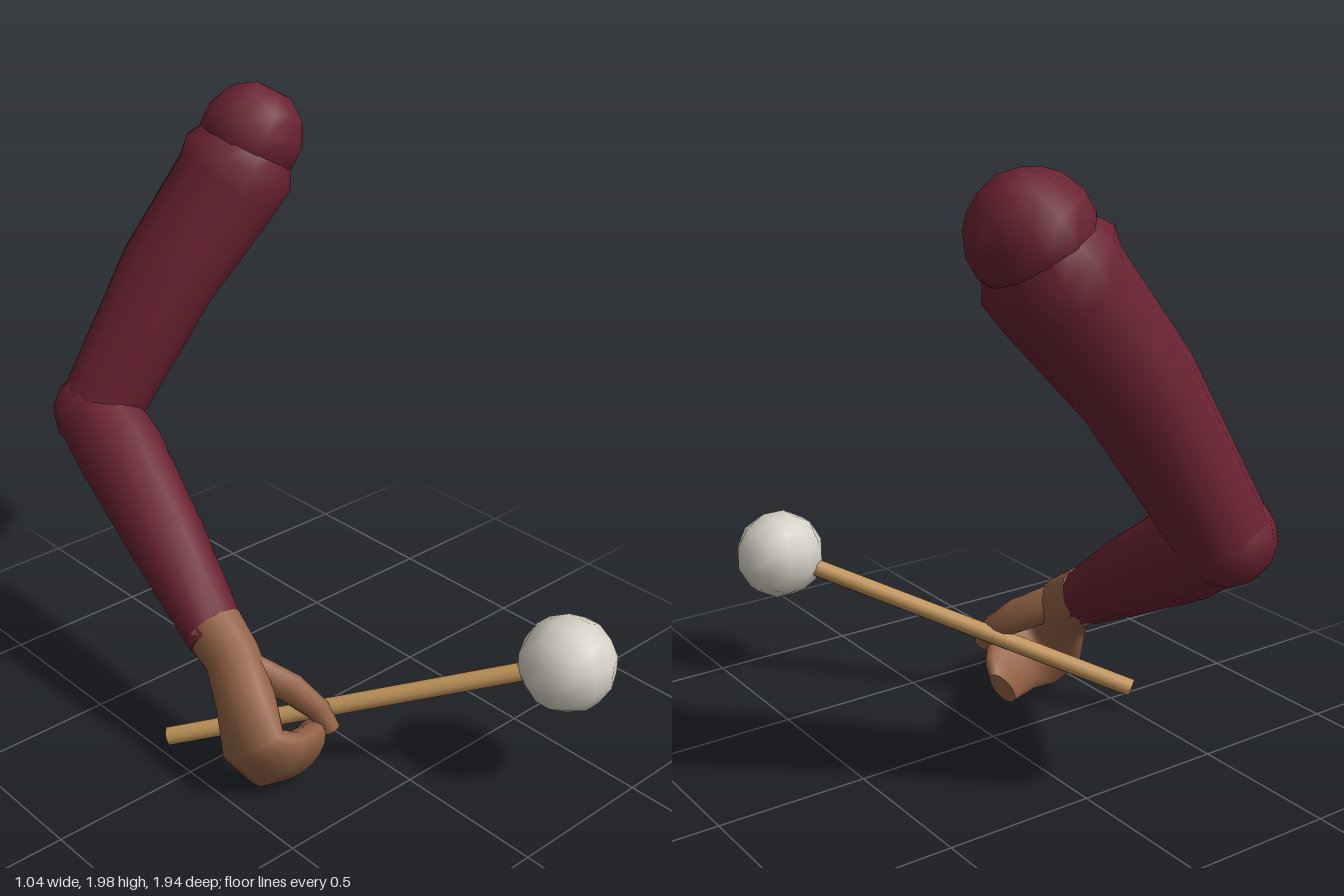
import * as THREE from 'three';

const mat = (name, color) => Object.assign(new THREE.MeshStandardMaterial({ color }), { name });
const V = (a) => new THREE.Vector3(...a);

// Smooth loft through elliptical rings [x, y, z, halfWidth, halfThickness], capped at both ends.
// The width axis follows ref, kept square to the path.
function loft(rings, ref, sides = 12) {
  const pos = [], idx = [], n = rings.length;
  const centers = rings.map((r) => V(r.slice(0, 3)));
  rings.forEach((r, i) => {
    const t = centers[Math.min(i + 1, n - 1)].clone().sub(centers[Math.max(i - 1, 0)]).normalize();
    const u = V(ref).addScaledVector(t, -V(ref).dot(t)).normalize();
    const v = t.clone().cross(u);
    for (let j = 0; j < sides; j++) {
      const a = (j / sides) * Math.PI * 2;
      const p = centers[i].clone().addScaledVector(u, Math.cos(a) * r[3]).addScaledVector(v, Math.sin(a) * r[4]);
      pos.push(p.x, p.y, p.z);
    }
  });
  for (let i = 0; i < n - 1; i++) {
    for (let j = 0; j < sides; j++) {
      const k = (j + 1) % sides;
      const a = i * sides + j, b = i * sides + k, c = b + sides, d = a + sides;
      idx.push(a, b, c, a, c, d);
    }
  }
  // end caps use their own vertices so that the rims stay crisp
  for (const [i, flip] of [[0, true], [n - 1, false]]) {
    const base = pos.length / 3;
    for (let j = 0; j < sides; j++) pos.push(...pos.slice((i * sides + j) * 3, (i * sides + j) * 3 + 3));
    pos.push(...centers[i].toArray());
    for (let j = 0; j < sides; j++) {
      const a = base + j, b = base + (j + 1) % sides;
      idx.push(...(flip ? [b, a, base + sides] : [a, b, base + sides]));
    }
  }
  const g = new THREE.BufferGeometry();
  g.setAttribute('position', new THREE.Float32BufferAttribute(pos, 3));
  g.setIndex(idx);
  g.computeVertexNormals();
  return g;
}

// Coarse ball made from a subdivided cube, with smooth normals
function cubeBall(radius) {
  const g = new THREE.BoxGeometry(2, 2, 2, 3, 3, 3);
  const p = g.attributes.position, q = new THREE.Vector3();
  const even = (c) => Math.tan(c * Math.PI / 4);
  for (let i = 0; i < p.count; i++) {
    q.fromBufferAttribute(p, i);
    q.set(even(q.x), even(q.y), even(q.z)).normalize();
    g.attributes.normal.setXYZ(i, q.x, q.y, q.z);
    p.setXYZ(i, q.x * radius, q.y * radius, q.z * radius);
  }
  return g;
}

export function createModel() {
  const group = new THREE.Group();
  const sleeve = mat('maroon sleeve', 0x6a2231);
  const skin = mat('brown skin', 0x936245);
  const wood = mat('tan wood', 0xc0945a);
  const felt = mat('off-white felt', 0xd6d1c5);
  const add = (name, geometry, material, at = [0, 0, 0]) => {
    const m = new THREE.Mesh(geometry, material);
    m.name = name;
    m.position.set(...at);
    group.add(m);
    return m;
  };

  // Sleeved arm
  add('shoulder', cubeBall(0.178), sleeve, [0.345, 1.825, -0.66]).rotation.set(0.3, 0.2, -0.5);
  add('upperArm', loft([
    [-0.215, 0.94, -0.825, 0.14, 0.145],
    [0.045, 1.395, -0.745, 0.168, 0.175],
    [0.255, 1.67, -0.685, 0.188, 0.19],
    [0.3, 1.745, -0.672, 0.2, 0.2],
    [0.335, 1.81, -0.66, 0.15, 0.16],
  ], [1, 0, 0]), sleeve);
  add('elbow', cubeBall(0.148), sleeve, [-0.222, 0.935, -0.828]).rotation.set(0.5, 0.2, 0.3);
  add('forearm', loft([
    [-0.225, 0.94, -0.83, 0.14, 0.135],
    [-0.243, 0.84, -0.66, 0.145, 0.152],
    [-0.295, 0.645, -0.34, 0.125, 0.13],
    [-0.345, 0.452, -0.035, 0.095, 0.095],
  ], [1, 0, 0]), sleeve);

  // Hand: a mitten shape that runs from the wrist and curls round the stick
  const across = [0, 0.84, 0.54];
  add('hand', loft([
    [-0.338, 0.475, -0.065, 0.099, 0.098],
    [-0.345, 0.41, 0.04, 0.1, 0.088],
    [-0.385, 0.315, 0.15, 0.118, 0.09],
    [-0.418, 0.215, 0.22, 0.142, 0.08],
    [-0.36, 0.155, 0.268, 0.148, 0.066],
    [-0.265, 0.135, 0.262, 0.13, 0.06],
    [-0.19, 0.108, 0.205, 0.1, 0.045],
    [-0.155, 0.09, 0.165, 0.07, 0.03],
  ], across, 16), skin);
  add('thumb', loft([
    [-0.32, 0.39, 0.11, 0.06, 0.05],
    [-0.24, 0.33, 0.2, 0.058, 0.045],
    [-0.195, 0.27, 0.275, 0.045, 0.036],
    [-0.17, 0.2, 0.31, 0.032, 0.028],
  ], across, 10), skin);

  // Beater: straight stick with a padded head
  const tail = V([-0.5, 0.105, -0.11]), head = V([0.335, 0.485, 0.83]);
  const dir = head.clone().sub(tail);
  const stick = add('stick', new THREE.CylinderGeometry(0.03, 0.03, dir.length(), 12), wood);
  stick.position.copy(tail).add(head).multiplyScalar(0.5);
  stick.quaternion.setFromUnitVectors(new THREE.Vector3(0, 1, 0), dir.normalize());
  add('beaterHead', cubeBall(0.154), felt, head.toArray());

  return group;
}
